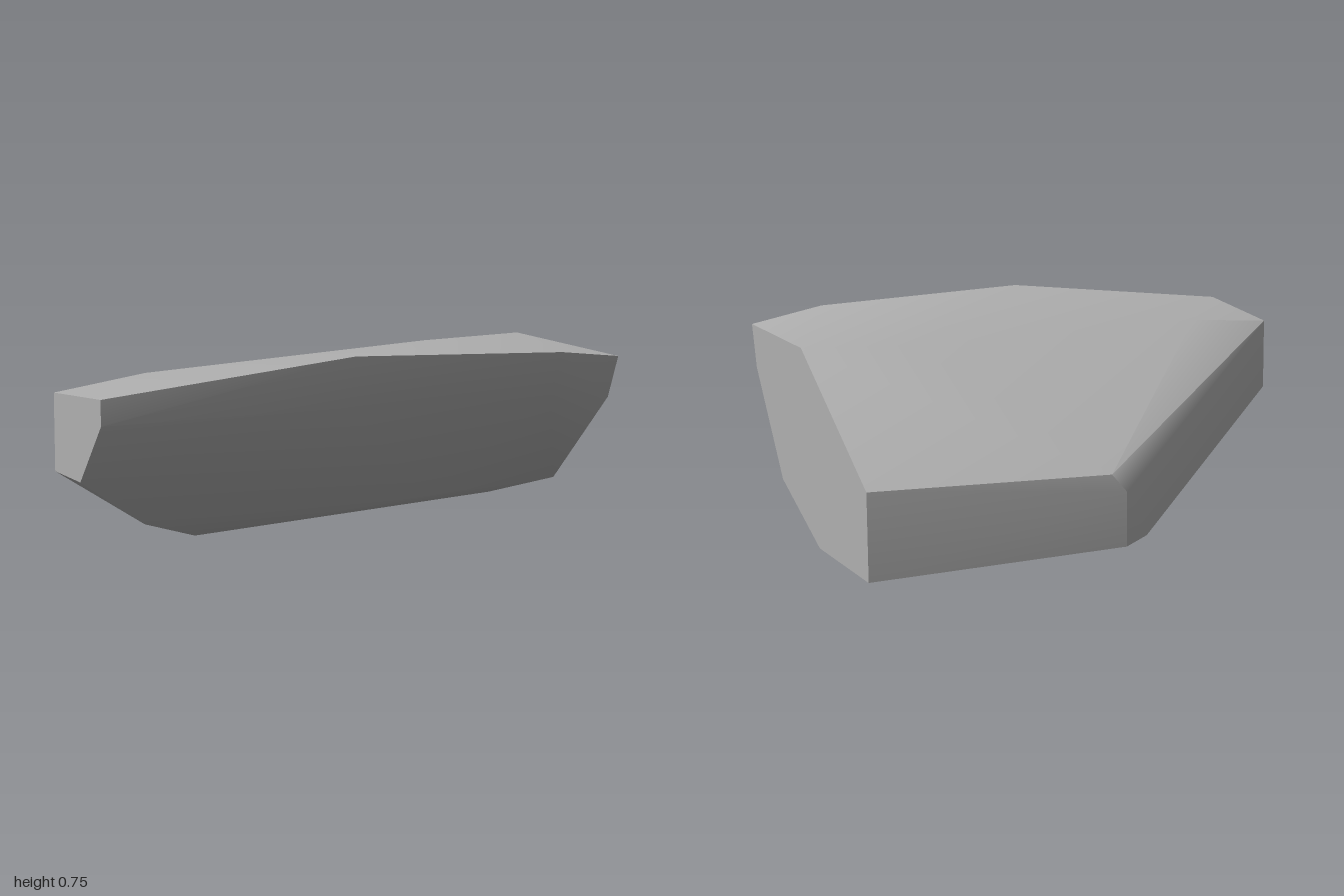
import * as THREE from 'three';
import { ConvexGeometry } from 'three/addons/geometries/ConvexGeometry.js';
import { toCreasedNormals } from 'three/addons/utils/BufferGeometryUtils.js';

// Turns a list of [x, y, z] corners into vectors
const corners = (...list) => list.map((p) => new THREE.Vector3(...p));

export function createModel() {
  const stone = new THREE.MeshStandardMaterial({ color: 0xb0b0b0 });
  stone.name = 'stoneGrey';

  // Broad flat end on the +x side
  const broadEnd = [
    [0.67, 0.66], [0.67, -0.05], [0.31, -0.82], [0.02, -0.83],
    [0.005, -0.25], [0.155, 0.24], [0.515, 0.6],
  ].map(([y, z]) => new THREE.Vector3(1, y, z));

  // Narrow flat end on the -x side
  const narrowEnd = [
    [0.67, 0.83], [0.585, 0.83], [0.37, 0.62], [0.36, 0.36], [0.625, 0.36],
  ].map(([y, z]) => new THREE.Vector3(-1, y, z));

  // Front rim, with a softer line just beneath it
  const frontRim = corners(
    [-0.12, 0.755, 0.83], [0.7, 0.715, 0.77],
    [-0.12, 0.58, 0.79], [0.7, 0.545, 0.7],
  );

  // Ridge where the top falls away to the back
  const topRidge = corners([0.6, 0.66, -0.06], [-0.64, 0.655, 0.26]);

  // Bevelled corner between the back and the slanted side
  const backCorner = corners(
    [0.16, 0.305, -0.82], [0.11, 0.245, -0.83],
    [0.11, 0.06, -0.83], [-0.02, 0.06, -0.7],
  );

  // Underside bends
  const underside = corners([-0.7, 0.16, 0.4], [0.4, 0.155, 0.35], [-0.4, 0.03, 0.1]);

  // One faceted slab wraps all the corners; gentle bends stay smooth
  const hull = new ConvexGeometry([
    ...broadEnd, ...narrowEnd, ...frontRim, ...topRidge, ...backCorner, ...underside,
  ]);
  const slab = new THREE.Mesh(toCreasedNormals(hull, 0.6), stone);
  slab.name = 'stoneSlab';

  const model = new THREE.Group();
  model.name = 'slantedStone';
  model.add(slab);
  return model;
}
